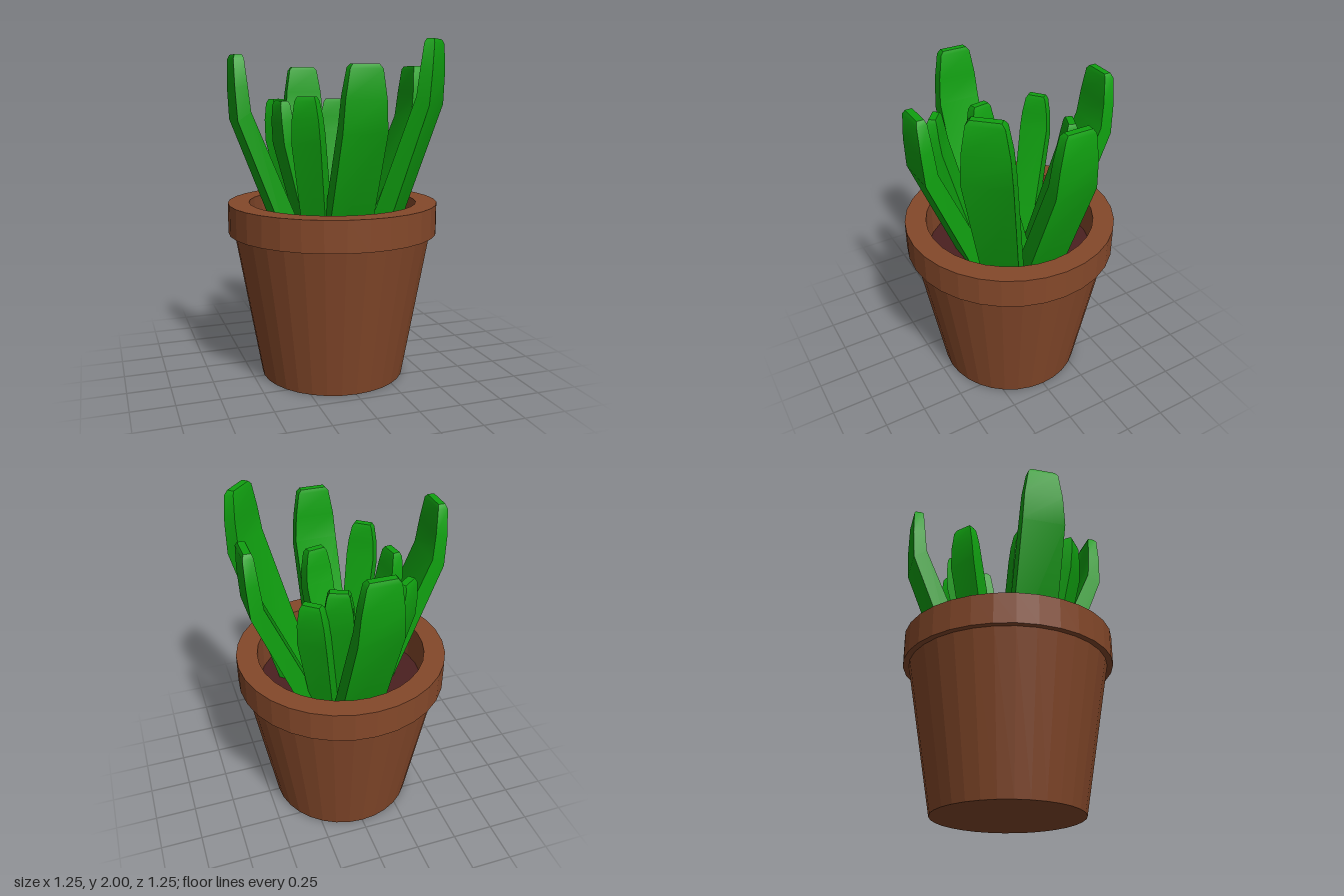
import * as THREE from 'three';
import { toCreasedNormals } from 'three/addons/utils/BufferGeometryUtils.js';

const clay = new THREE.MeshStandardMaterial({ color: 0x84482a, flatShading: true });
const earth = new THREE.MeshStandardMaterial({ color: 0x4a2020 });
const green = new THREE.MeshStandardMaterial({ color: 0x10a010 });

const SOIL_Y = 0.83;
const BASE_Y = 0.8;

// A thick blade that leans outward, bends upright and tapers to a blunt tip.
// It runs from base (bx, bz) to the outermost point (tx, tz), h is the tip height.
function makeLeaf(name, [bx, bz, tx, tz, h], halfWidth, bend, taper) {
  const len = Math.hypot(tx - bx, tz - bz);
  // Each row: outer y, inner y, outer z, inner z, width factor
  const rows = [
    [BASE_Y, BASE_Y, 0.12, 0, taper],
    [h - bend, h - bend + 0.05, len - 0.01, len - 0.085, 1],
    [h - bend / 2, h - bend / 2 + 0.02, len, len - 0.07, 0.91],
    [h - 0.025, h - 0.02, len, len - 0.058, 0.72],
    [h, h, len - 0.01, len - 0.05, 0.58],
  ];
  const n = rows.length - 1;
  const box = new THREE.BoxGeometry(2, 1, 1, 1, n, 1);
  const p = box.attributes.position;
  for (let i = 0; i < p.count; i++) {
    const [yOut, yIn, zOut, zIn, w] = rows[Math.round((p.getY(i) + 0.5) * n)];
    const outer = p.getZ(i) > 0;
    p.setXYZ(i, Math.sign(p.getX(i)) * halfWidth * w, outer ? yOut : yIn, outer ? zOut : zIn);
  }
  const leaf = new THREE.Mesh(toCreasedNormals(box, 0.6), green);
  leaf.name = name;
  leaf.position.set(bx, 0, bz);
  leaf.rotation.y = Math.atan2(tx - bx, tz - bz);
  return leaf;
}

export function createModel() {
  const model = new THREE.Group();
  model.name = 'pottedSucculent';

  // Tapered pot with a protruding rim and a hollow top
  const profile = [
    [0, 0], [0.435, 0], [0.59, 0.88], [0.625, 0.88], [0.625, 1.06], [0.5, 1.06], [0.5, SOIL_Y - 0.02],
  ].map(([r, y]) => new THREE.Vector2(r, y));
  const pot = new THREE.Mesh(new THREE.LatheGeometry(profile, 32), clay);
  pot.name = 'pot';
  model.add(pot);

  // Soil
  const soil = new THREE.Mesh(new THREE.CircleGeometry(0.5, 32), earth);
  soil.name = 'soil';
  soil.rotation.x = -Math.PI / 2;
  soil.position.y = SOIL_Y;
  model.add(soil);

  const leaves = new THREE.Group();
  leaves.name = 'leaves';
  model.add(leaves);

  // Outer ring of large leaves: base x, z, tip x, z, height
  [
    [-0.008, 0.17, -0.008, 0.58, 1.86],
    [-0.008, -0.22, -0.008, -0.63, 1.86],
    [0.17, -0.077, 0.575, -0.077, 1.86],
    [-0.19, 0.048, -0.61, 0.048, 1.915],
  ].forEach((d) => leaves.add(makeLeaf('outerLeaf', d, 0.127, 0.36, 1)));

  // Tallest leaf
  leaves.add(makeLeaf('tallLeaf', [0.185, 0.125, 0.487, 0.407, 2.0], 0.135, 0.36, 0.8));

  // Inner ring of small leaves
  [
    [-0.09, -0.13, -0.275, -0.36, 1.66],
    [0.025, -0.095, 0.13, -0.355, 1.66],
    [0.11, -0.13, 0.28, -0.335, 1.6],
    [0.04, -0.08, 0.1, 0.205, 1.66],
    [-0.055, -0.02, -0.345, 0.025, 1.66],
    [-0.1, 0.14, -0.275, 0.36, 1.69],
  ].forEach((d) => leaves.add(makeLeaf('innerLeaf', d, 0.085, 0.25, 0.8)));

  return model;
}
